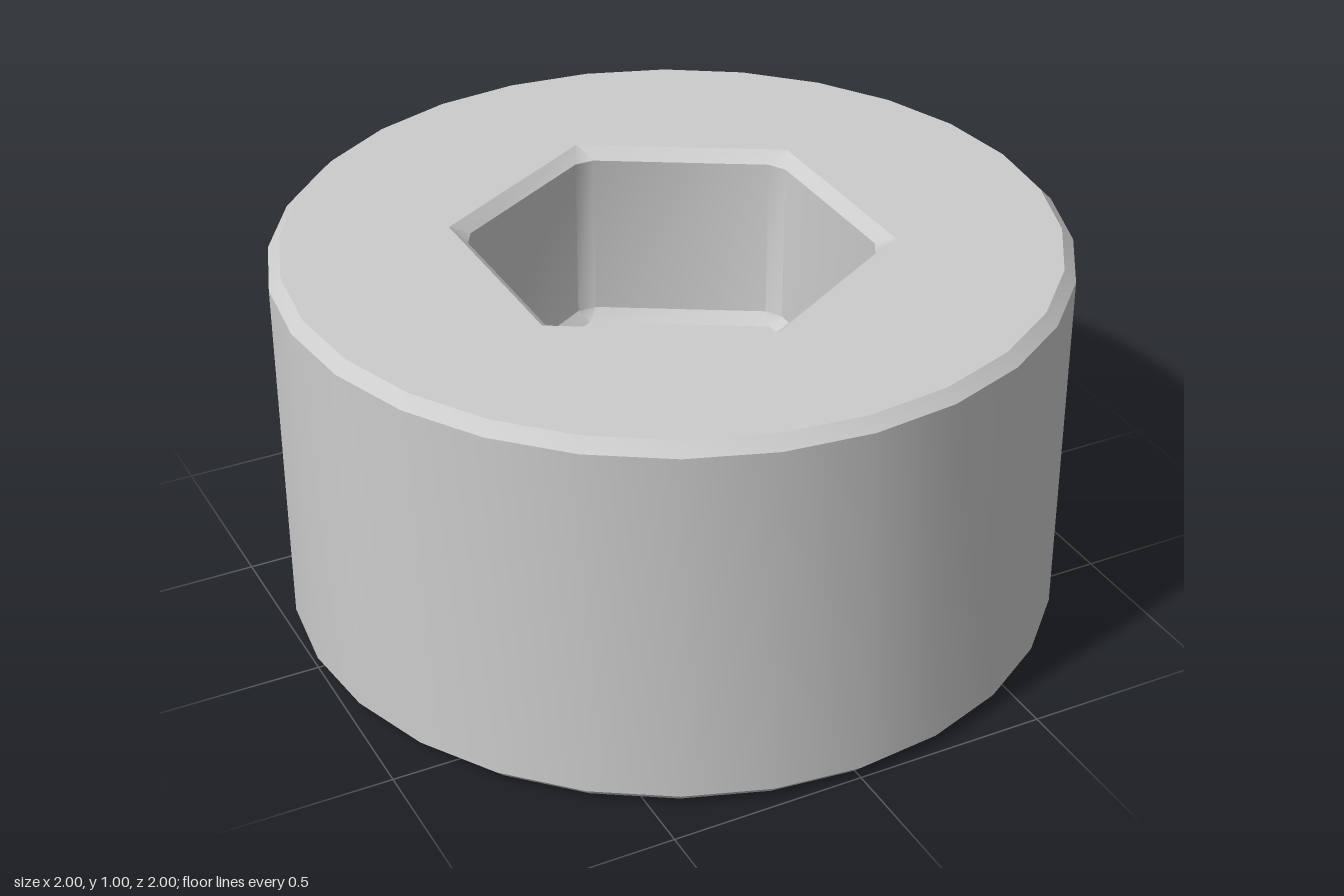
import * as THREE from 'three';
import { toCreasedNormals } from 'three/addons/utils/BufferGeometryUtils.js';

const SIDES = 28, HEIGHT = 1, BEVEL = 0.03, DEPTH = 0.5;
const CREASE = 0.6;
const COS30 = Math.cos(Math.PI / 6);

// Regular polygon points, the first one on the z axis
function polygon(sides, radius) {
  return Array.from({ length: sides }, (_, i) => {
    const a = (i / sides) * Math.PI * 2;
    return new THREE.Vector2(Math.sin(a) * radius, Math.cos(a) * radius);
  });
}

// Hexagon with each corner cut back by "cut", as 12 points
function cutHexagon(apothem, cut) {
  const c = polygon(6, apothem / COS30);
  return c.flatMap((p, i) => [c[(i + 5) % 6], c[(i + 1) % 6]].map((q) =>
    p.clone().add(q.clone().sub(p).setLength(cut))));
}

// Inward-facing walls between stacked rings, listed from top to bottom
function ringWalls(rings) {
  const pos = [];
  const put = (r, i) => {
    const p = rings[r].points[i % 12];
    pos.push(p.x, rings[r].y, p.y);
  };
  for (let r = 0; r < rings.length - 1; r++) {
    for (let i = 0; i < 12; i++) {
      put(r, i); put(r, i + 1); put(r + 1, i + 1);
      put(r, i); put(r + 1, i + 1); put(r + 1, i);
    }
  }
  const g = new THREE.BufferGeometry();
  g.setAttribute('position', new THREE.Float32BufferAttribute(pos, 3));
  return toCreasedNormals(g, CREASE);
}

export function createModel() {
  const model = new THREE.Group();
  model.name = 'socketHead';
  const steel = new THREE.MeshStandardMaterial({ color: 0xcccccc });
  steel.name = 'light grey';
  const add = (name, geometry) => {
    const mesh = new THREE.Mesh(geometry, steel);
    mesh.name = name;
    model.add(mesh);
    return mesh;
  };

  // Round body: base, bevels and side wall
  const profile = [[0, 0], [1 - BEVEL, 0], [1, BEVEL], [1, HEIGHT - BEVEL], [1 - BEVEL, HEIGHT]]
    .map(([x, y]) => new THREE.Vector2(x, y));
  add('body', toCreasedNormals(new THREE.LatheGeometry(profile, SIDES), CREASE));

  // Top face with hexagonal opening
  const apothem = 0.45;
  const top = new THREE.Shape(polygon(SIDES, 1 - BEVEL));
  top.holes.push(new THREE.Path(polygon(6, (apothem + BEVEL) / COS30)));
  add('topFace', new THREE.ShapeGeometry(top).rotateX(-Math.PI / 2)).position.y = HEIGHT;

  // Socket walls with beveled rim, corners and foot
  const floorY = HEIGHT - DEPTH;
  add('socketWalls', ringWalls([
    { y: HEIGHT, points: cutHexagon(apothem + BEVEL, 0) },
    { y: HEIGHT - BEVEL, points: cutHexagon(apothem, BEVEL) },
    { y: floorY + BEVEL, points: cutHexagon(apothem, BEVEL) },
    { y: floorY, points: cutHexagon(apothem - BEVEL, 0) },
  ]));

  // Socket floor
  const floor = new THREE.Shape(polygon(6, (apothem - BEVEL) / COS30));
  add('socketFloor', new THREE.ShapeGeometry(floor).rotateX(-Math.PI / 2)).position.y = floorY;

  return model;
}
